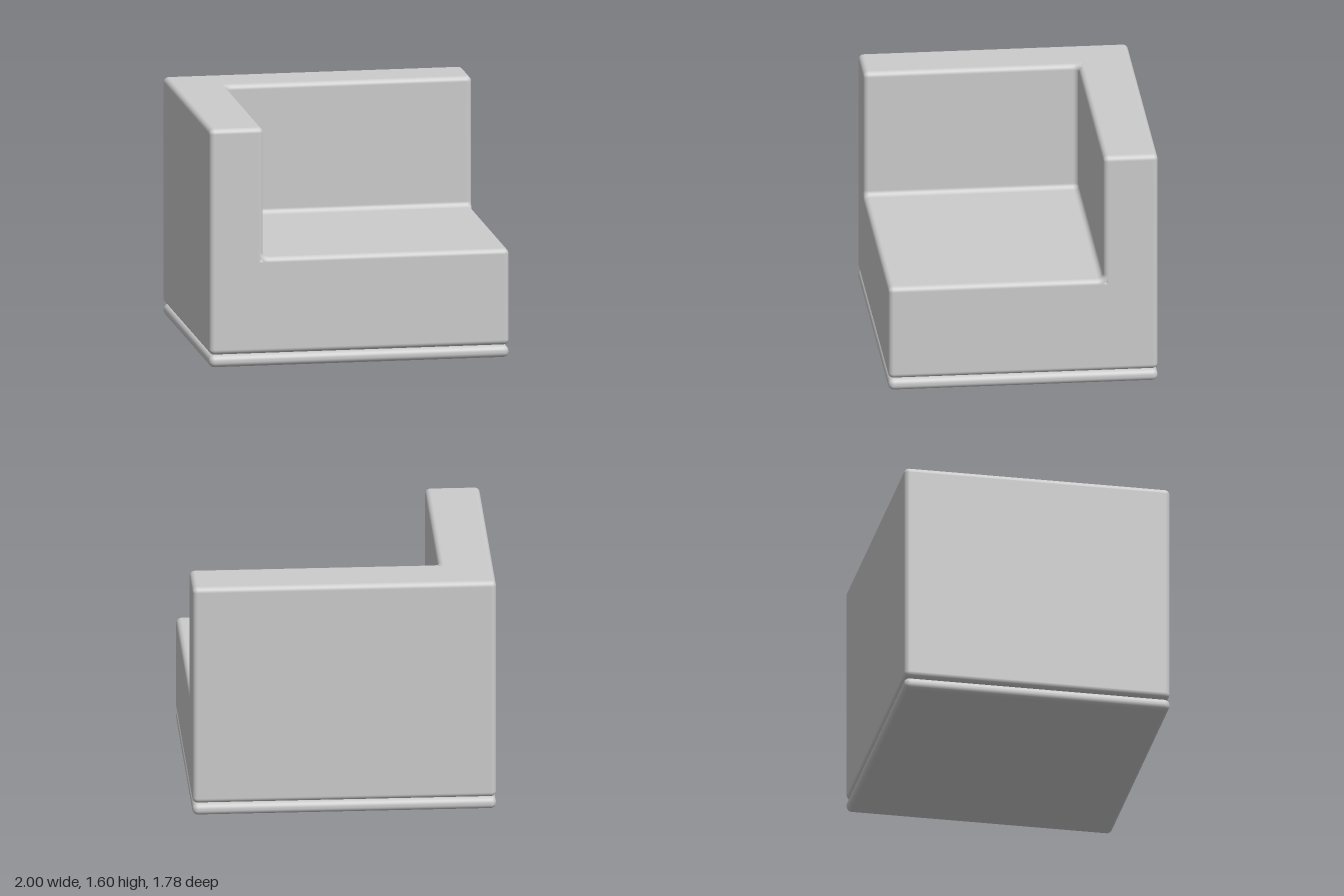
import * as THREE from 'three';
import { RoundedBoxGeometry } from 'three/addons/geometries/RoundedBoxGeometry.js';

const R = 0.035; // softening radius of every edge
const X = 1, Z = 0.89, TOP = 1.6, BOTTOM = 0.085;
const ARM = -0.64, SEAT = 0.73, BACK = -0.53; // inner faces

const grey = new THREE.MeshStandardMaterial({ color: 0xcccccc });
const greyInside = new THREE.MeshStandardMaterial({ color: 0xcccccc, side: THREE.BackSide });

// Rounded block given by its two extreme corners
function block(name, min, max, radius = R) {
  const size = max.map((v, i) => v - min[i]);
  const mesh = new THREE.Mesh(new RoundedBoxGeometry(...size, 6, radius), grey);
  mesh.position.set(...min.map((v, i) => (v + max[i]) / 2));
  mesh.name = name;
  return mesh;
}

// Concave fillet between the walls u = 0 and v = 0, swept along w;
// the far end flares outwards to meet the rounded outer edges.
function fillet(name, length, u, v, w) {
  const rows = 9;
  const geo = new THREE.PlaneGeometry(1, 1, 8, rows);
  const { position, normal, uv } = geo.attributes;
  for (let i = 0; i < position.count; i++) {
    const t = (1 - uv.getX(i)) * Math.PI / 2;
    const row = Math.round(uv.getY(i) * rows);
    const a = Math.max(0, row - 1) / (rows - 1) * Math.PI / 2;
    const radius = R * (2 - Math.cos(a));
    const along = row === 0 ? R : length - R + R * Math.sin(a);
    position.setXYZ(i, R - radius * Math.cos(t), R - radius * Math.sin(t), along);
    normal.setXYZ(i, Math.cos(a) * Math.cos(t), Math.cos(a) * Math.sin(t), Math.sin(a));
  }
  geo.applyMatrix4(new THREE.Matrix4().makeBasis(u, v, w));
  const mesh = new THREE.Mesh(geo, grey);
  mesh.position.set(ARM, SEAT, BACK);
  mesh.name = name;
  return mesh;
}

export function createModel() {
  const group = new THREE.Group();
  group.name = 'cornerSeat';

  // Upholstered blocks on a low plinth
  group.add(
    block('plinth', [-X, 0, -Z], [X, 0.08, Z], 0.037),
    block('seat', [-X, BOTTOM, -Z], [X, SEAT, Z]),
    block('armrest', [-X, BOTTOM, -Z], [ARM, TOP, Z]),
    block('backrest', [-X, BOTTOM, -Z], [X, TOP, BACK])
  );

  // Soft inner seams where seat, armrest and backrest meet
  const x = new THREE.Vector3(1, 0, 0);
  const y = new THREE.Vector3(0, 1, 0);
  const z = new THREE.Vector3(0, 0, 1);
  group.add(
    fillet('seatArmSeam', Z - BACK, x, y, z),
    fillet('seatBackSeam', X - ARM, y, z, x),
    fillet('armBackSeam', TOP - SEAT, z, x, y)
  );

  // Hollow spherical patch joining the three seams
  const corner = new THREE.Mesh(
    new THREE.SphereGeometry(R, 8, 8, -Math.PI / 2, Math.PI / 2, Math.PI / 2, Math.PI / 2),
    greyInside
  );
  corner.position.set(ARM + R, SEAT + R, BACK + R);
  corner.name = 'innerCorner';
  group.add(corner);

  return group;
}
